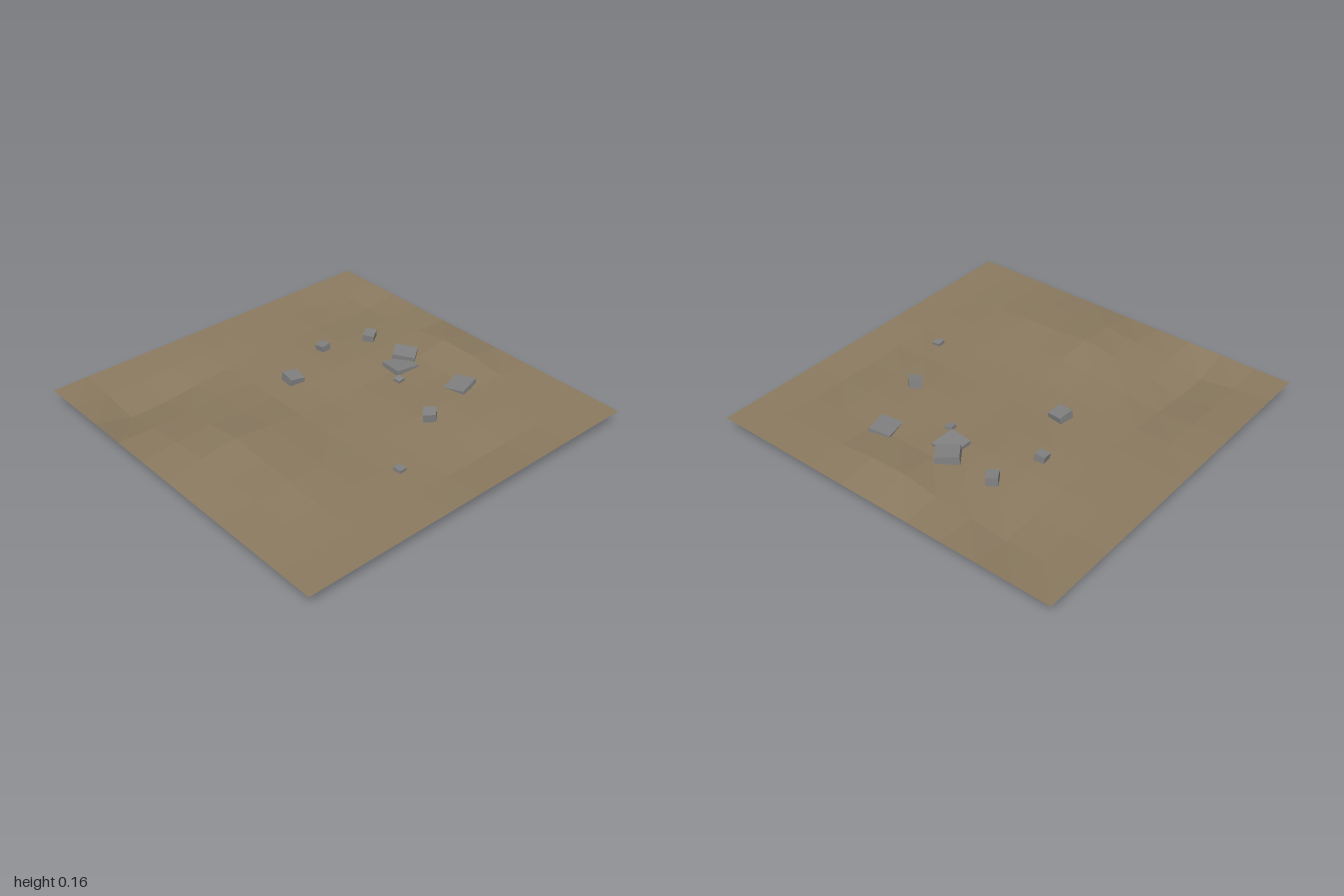
import * as THREE from 'three';

// Soft hills and hollows: x, z, height, spread in x, spread in z
const bumps = [
  [-0.6, 0, 0.052, 0.28, 0.24],
  [-0.6, 0.42, 0.026, 0.3, 0.22],
  [-0.72, -0.62, -0.052, 0.4, 0.18],
  [0.8, 0.08, 0.045, 0.17, 0.24],
  [0.75, -0.65, -0.025, 0.25, 0.2],
  [0.25, 0.8, -0.018, 0.35, 0.13],
  [0.3, 0.4, 0.018, 0.25, 0.22],
  [0.3, -0.25, 0.014, 0.3, 0.2],
];
const BASE = 0.09;

function groundHeight(x, z) {
  if (Math.max(Math.abs(x), Math.abs(z)) > 0.99) return BASE;
  return bumps.reduce((y, [bx, bz, h, sx, sz]) =>
    y + h * Math.exp(-(((x - bx) / sx) ** 2) - ((z - bz) / sz) ** 2), BASE);
}

// Rocks: centre, size, rotation
const rocks = [
  [[-0.03, 0.102, -0.27], [0.085, 0.055, 0.085], [0.1, -0.15, -0.12]],
  [[0.285, 0.11, -0.4], [0.055, 0.04, 0.055], [-0.1, 0.1, 0.08]],
  [[0.55, 0.107, -0.32], [0.075, 0.055, 0.06], [0.05, 0.6, 0.06]],
  [[0.47, 0.065, 0], [0.135, 0.1, 0.125], [-0.04, -0.08, -0.08]],
  [[0.555, 0.092, -0.055], [0.105, 0.09, 0.12], [0.08, 0.65, 0.05]],
  [[0.375, 0.092, 0.09], [0.04, 0.04, 0.04], [0.1, 0.15, 0.1]],
  [[0.575, 0.07, 0.335], [0.135, 0.09, 0.115], [-0.12, 0.26, 0.06]],
  [[0.235, 0.133, 0.45], [0.065, 0.045, 0.065], [-0.1, 0.75, 0.12]],
  [[-0.145, 0.088, 0.635], [0.045, 0.038, 0.045], [0.06, 0.08, -0.08]],
];

export function createModel() {
  const group = new THREE.Group();

  // Uneven square of earth
  const groundGeo = new THREE.PlaneGeometry(2, 2, 10, 10).rotateX(-Math.PI / 2);
  const pos = groundGeo.attributes.position;
  for (let i = 0; i < pos.count; i++) {
    pos.setY(i, groundHeight(pos.getX(i), pos.getZ(i)));
  }
  groundGeo.computeVertexNormals();
  const earth = new THREE.MeshStandardMaterial({
    color: 0x8b7a60, flatShading: true, side: THREE.DoubleSide,
  });
  const ground = new THREE.Mesh(groundGeo, earth);
  ground.name = 'ground';
  group.add(ground);

  // Half-buried block stones
  const stone = new THREE.MeshStandardMaterial({ color: 0x808080, flatShading: true });
  rocks.forEach(([p, s, r], i) => {
    const rock = new THREE.Mesh(new THREE.BoxGeometry(...s), stone);
    rock.name = `rock${i + 1}`;
    rock.position.set(...p);
    rock.rotation.set(r[0], r[1], r[2], 'YXZ');
    group.add(rock);
  });

  return group;
}
